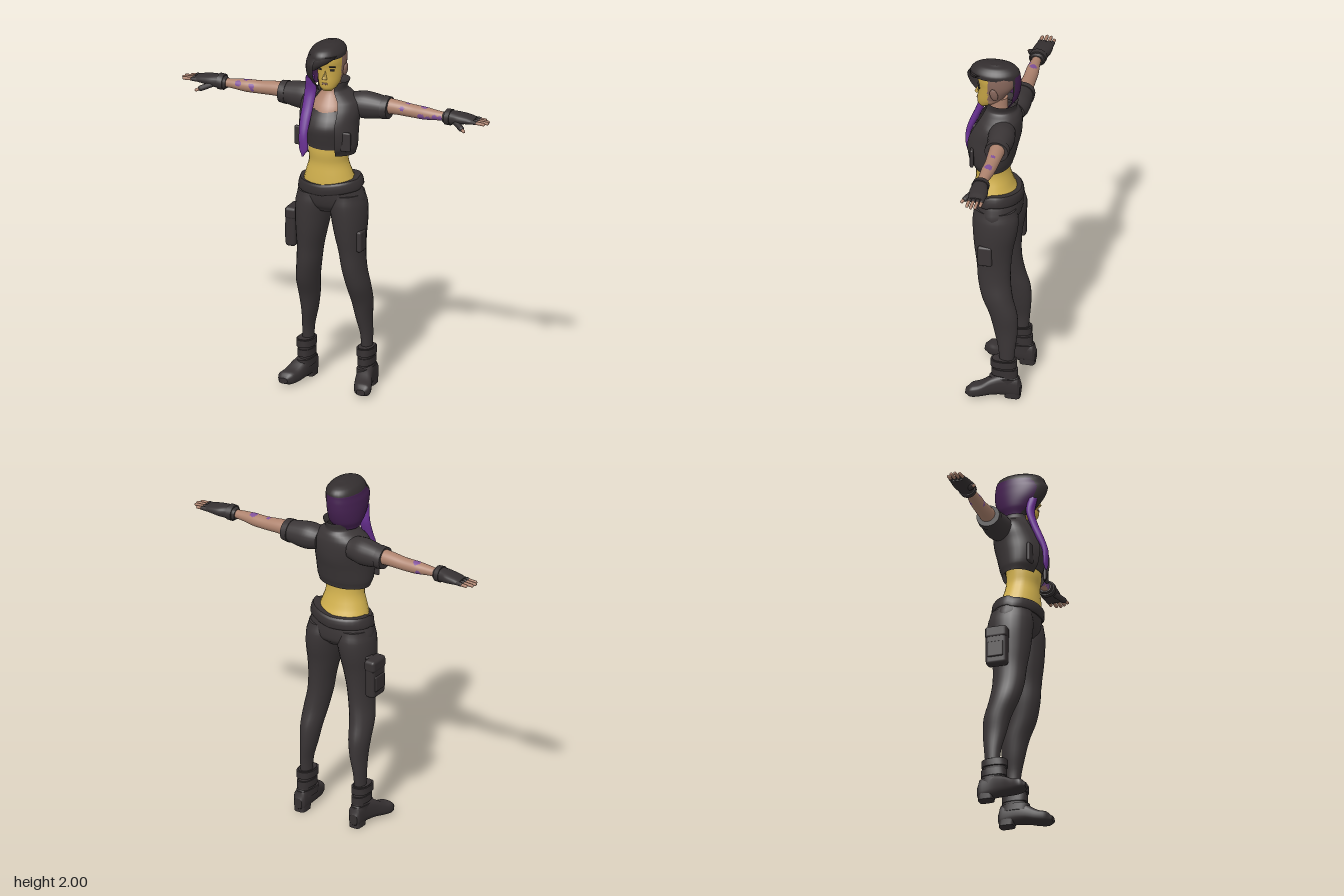
import * as THREE from 'three';
import { RoundedBoxGeometry } from 'three/addons/geometries/RoundedBoxGeometry.js';
import { mergeVertices } from 'three/addons/utils/BufferGeometryUtils.js';

const mat = (name, color, side = THREE.FrontSide) => {
  const m = new THREE.MeshStandardMaterial({ color, side });
  m.name = name;
  return m;
};

// Skin over cross-sections [pos, min1, max1, min2, max2] stacked along an axis.
// The other two axes follow in x, y, z order; p > 2 makes sections boxier.
function loft(axis, secs, { seg = 24, sub = 4, p = 2, a0 = 0, a1 = Math.PI * 2 } = {}) {
  const closed = a1 - a0 > 6.28, rows = [], pos = [], idx = [];
  const cat = (a, b, c, d, t) => 0.5 * (2 * b + (c - a) * t + (2 * a - 5 * b + 4 * c - d) * t * t + (3 * b - a - 3 * c + d) * t * t * t);
  const at = i => secs[Math.min(Math.max(i, 0), secs.length - 1)];
  for (let i = 0; i < secs.length - 1; i++)
    for (let k = 0; k < sub; k++)
      rows.push(secs[i].map((v, n) => n === 0 ? v + (at(i + 1)[0] - v) * k / sub : cat(at(i - 1)[n], v, at(i + 1)[n], at(i + 2)[n], k / sub)));
  rows.push(secs[secs.length - 1]);
  const put = (v, u, w) => pos.push(...(axis === 'x' ? [v, u, w] : axis === 'y' ? [u, v, w] : [u, w, v]));
  const cols = closed ? seg : seg + 1;
  const ring = r => {
    for (let j = 0; j < cols; j++) {
      const a = a0 + (a1 - a0) * j / seg, c = Math.cos(a), s = Math.sin(a);
      put(r[0], (r[1] + r[2]) / 2 + (r[2] - r[1]) / 2 * Math.sign(c) * Math.abs(c) ** (2 / p),
        (r[3] + r[4]) / 2 + (r[4] - r[3]) / 2 * Math.sign(s) * Math.abs(s) ** (2 / p));
    }
  };
  const tri = (a, b, c) => axis === 'y' ? idx.push(a, c, b) : idx.push(a, b, c);
  rows.forEach(ring);
  for (let i = 0; i < rows.length - 1; i++)
    for (let j = 0; j < seg; j++) {
      const a = i * cols + j, b = i * cols + (j + 1) % cols;
      tri(a, b, a + cols); tri(b, b + cols, a + cols);
    }
  if (closed) for (const end of [0, rows.length - 1]) {
    const r = rows[end], base = pos.length / 3;
    ring(r);
    put(r[0], (r[1] + r[2]) / 2, (r[3] + r[4]) / 2);
    for (let j = 0; j < seg; j++) {
      const a = base + j, b = base + (j + 1) % seg;
      end ? tri(a, b, base + seg) : tri(b, a, base + seg);
    }
  }
  const g = new THREE.BufferGeometry();
  g.setAttribute('position', new THREE.Float32BufferAttribute(pos, 3));
  g.setIndex(idx);
  g.computeVertexNormals();
  return g;
}

// Mirrors an indexed geometry across x and restores its winding.
function mirror(geo) {
  const g = geo.clone().scale(-1, 1, 1), ix = g.index.array;
  for (let i = 0; i < ix.length; i += 3) [ix[i], ix[i + 1]] = [ix[i + 1], ix[i]];
  return g;
}

// Sorts faces into material groups by their centre point.
function paint(g, count, pick) {
  const p = g.attributes.position, ix = g.index.array, lists = Array.from({ length: count }, () => []);
  for (let i = 0; i < ix.length; i += 3) {
    const t = [ix[i], ix[i + 1], ix[i + 2]];
    const mid = f => (f(t[0]) + f(t[1]) + f(t[2])) / 3;
    lists[pick(mid(n => p.getX(n)), mid(n => p.getY(n)), mid(n => p.getZ(n)))].push(...t);
  }
  let start = 0;
  lists.forEach((l, n) => { g.addGroup(start, l.length, n); start += l.length; });
  g.setIndex(lists.flat());
  return g;
}

export function createModel() {
  const root = new THREE.Group();
  root.name = 'figure';
  const cloth = mat('charcoal cloth', 0x3a3536, THREE.DoubleSide), leather = mat('dark leather', 0x363132);
  const skin = mat('skin', 0xae836e), shaved = mat('shaved scalp', 0x86665b);
  const yellow = mat('yellow waist', 0xd4b34f), faceCol = mat('yellow face', 0xc4a345);
  const hairCol = mat('dark hair', 0x332e2f, THREE.DoubleSide), violet = mat('violet streak', 0x6a3194);
  const plum = mat('plum hair', 0x43204f, THREE.DoubleSide), ink = mat('tattoo ink', 0x80509a);
  const add = (name, geo, m) => {
    const o = new THREE.Mesh(geo, m);
    o.name = name;
    root.add(o);
    return o;
  };
  const both = (name, geo, m) => { add(name + 'Left', geo, m); add(name + 'Right', mirror(geo), m); };
  const box = (w, h, d, x, y, z, r = 0.01) => mergeVertices(new RoundedBoxGeometry(w, h, d, 2, r)).translate(x, y, z);
  const rod = (a, b, r) => {
    const A = new THREE.Vector3(...a), d = new THREE.Vector3(...b).sub(A);
    const q = new THREE.Quaternion().setFromUnitVectors(new THREE.Vector3(0, 1, 0), d.clone().normalize());
    return new THREE.CapsuleGeometry(r, d.length(), 4, 10).applyQuaternion(q).translate(...A.addScaledVector(d, 0.5).toArray());
  };

  // Legs, hips and belt
  both('leg', loft('y', [[.18, .145, .205, -.145, -.07], [.3, .14, .205, -.155, -.06], [.4, .118, .205, -.165, -.035],
    [.5, .1, .213, -.162, -.008], [.6, .085, .213, -.135, .035], [.7, .068, .2, -.12, .06], [.8, .053, .195, -.12, .07],
    [.9, .03, .2, -.13, .085], [1, .01, .205, -.15, .095], [1.08, 0, .2, -.155, .098], [1.14, .01, .185, -.14, .09]]), cloth);
  add('hips', loft('y', [[1.035, -.12, .12, -.11, .06], [1.07, -.185, .185, -.145, .085], [1.11, -.195, .195, -.152, .098],
    [1.16, -.182, .182, -.15, .105], [1.19, -.172, .172, -.145, .108]]), cloth);
  const belt = loft('y', [[1.14, -.18, .18, -.15, .11], [1.15, -.188, .188, -.158, .118], [1.19, -.18, .18, -.156, .12],
    [1.205, -.172, .172, -.145, .112]], { seg: 32, sub: 2 });
  const bp = belt.attributes.position;
  for (let i = 0; i < bp.count; i++) bp.setY(i, bp.getY(i) + 0.08 * bp.getX(i) + (bp.getZ(i) < 0 ? .012 : 0) + Math.abs(bp.getX(i)) * .08);
  belt.computeVertexNormals();
  add('belt', belt, leather);
  add('pouch', box(.06, .22, .12, -.238, .885, -.06, .018), leather);
  add('pouchFlap', box(.068, .07, .126, -.238, .965, -.06, .018), leather);
  add('pouchStrap', box(.07, .02, .05, -.2, .99, -.06, .008), leather);
  add('pouchPocket', box(.02, .09, .09, -.266, .86, -.06, .008), leather);
  add('thighPocket', box(.03, .12, .08, .192, .88, .01, .012), cloth);

  // Boots
  both('bootFoot', loft('z', [[-.187, .155, .205, .02, .08], [-.172, .142, .215, .005, .125], [-.1, .14, .222, .012, .14],
    [-.03, .145, .24, .012, .12], [.03, .16, .262, .006, .085], [.075, .178, .272, .006, .075], [.105, .205, .255, .018, .05]], { p: 2.8 }), leather);
  both('bootShaft', loft('y', [[.06, .145, .215, -.172, -.03], [.12, .142, .213, -.17, -.035], [.18, .14, .215, -.158, -.03],
    [.235, .138, .22, -.156, -.028]], { p: 2.4 }), leather);
  [[.1, .135, .22, -.178, -.012], [.155, .135, .22, -.17, -.025], [.21, .13, .227, -.165, -.02]].forEach(([y, ...r], i) =>
    both('bootStrap' + (i + 1), loft('y', [[y - .02, ...r], [y + .02, ...r]], { p: 2.4, sub: 1 }), leather));
  both('bootHeel', loft('y', [[0, .145, .212, -.185, -.1], [.035, .143, .214, -.183, -.095]], { p: 4, sub: 1 }), leather);

  // Waist, top and chest
  add('waist', loft('y', [[1.14, -.16, .16, -.138, .1], [1.2, -.15, .15, -.126, .107], [1.25, -.134, .134, -.105, .105],
    [1.32, -.112, .112, -.085, .1], [1.38, -.113, .113, -.08, .108], [1.43, -.115, .115, -.085, .108]]), yellow);
  add('top', loft('y', [[1.41, -.118, .118, -.088, .112], [1.48, -.128, .128, -.1, .13], [1.53, -.135, .135, -.1, .138],
    [1.58, -.13, .13, -.11, .118], [1.625, -.11, .11, -.11, .085]]), cloth);
  add('neck', loft('y', [[1.58, -.1, .1, -.1, .1], [1.64, -.1, .1, -.1, .08], [1.69, -.07, .07, -.09, .045],
    [1.73, -.038, .052, -.075, .025], [1.8, -.036, .054, -.075, .03]]), skin);

  // Open cropped jacket with a standing collar
  const gap = Math.PI / 6, front = { a0: Math.PI / 2 + gap, a1: Math.PI * 2.5 - gap, seg: 32 };
  add('jacket', loft('y', [[1.378, -.152, .152, -.098, .11], [1.42, -.165, .165, -.112, .138], [1.5, -.168, .168, -.13, .152],
    [1.56, -.168, .168, -.145, .145], [1.62, -.172, .172, -.15, .118], [1.67, -.16, .16, -.148, .088],
    [1.705, -.115, .115, -.138, .065], [1.73, -.078, .082, -.122, .05], [1.775, -.085, .095, -.13, .04]], front), cloth);
  both('jacketPocket', box(.06, .11, .02, .128, 1.47, .105, .009).rotateY(.08), cloth);
  both('sleeve', loft('x', [[.1, 1.575, 1.7, -.14, 0], [.17, 1.56, 1.712, -.152, -.002], [.24, 1.565, 1.705, -.15, -.012],
    [.315, 1.58, 1.692, -.145, -.022]]), cloth);
  both('sleeveCuff', loft('x', [[.285, 1.57, 1.7, -.153, -.015], [.322, 1.575, 1.697, -.15, -.018]], { sub: 1 }), cloth);

  // Arms with scattered tattoos
  const arm = loft('x', [[.28, 1.6, 1.69, -.132, -.042], [.36, 1.604, 1.685, -.13, -.046], [.45, 1.602, 1.675, -.125, -.05],
    [.53, 1.602, 1.672, -.12, -.047], [.6, 1.61, 1.665, -.11, -.05], [.66, 1.613, 1.66, -.104, -.056]], { seg: 28, sub: 10 });
  const blotch = (x, y, z, marks) => marks.some(([mx, my, mz, r]) => Math.hypot(x - mx, y - my, z - mz) < r) ? 1 : 0;
  add('armLeft', paint(arm.clone(), 2, (x, y, z) => blotch(x, y, z, [[.405, 1.655, -.05, .014], [.43, 1.675, -.09, .013],
    [.52, 1.62, -.05, .022], [.56, 1.615, -.052, .02], [.6, 1.63, -.05, .018], [.53, 1.67, -.09, .022], [.63, 1.63, -.056, .015]])), [skin, ink]);
  add('armRight', paint(mirror(arm), 2, (x, y, z) => blotch(x, y, z, [[-.57, 1.655, -.052, .018], [-.49, 1.65, -.048, .016],
    [-.53, 1.67, -.09, .02], [-.55, 1.62, -.11, .018], [-.485, 1.625, -.05, .01]])), [skin, ink]);

  // Fingerless gloves and fingers
  both('glove', loft('x', [[.645, 1.606, 1.664, -.112, -.048], [.665, 1.6, 1.675, -.122, -.04], [.7, 1.603, 1.675, -.126, -.038],
    [.74, 1.61, 1.67, -.138, -.035], [.79, 1.617, 1.662, -.138, -.04], [.828, 1.622, 1.652, -.134, -.045]], { p: 2.4 }), leather);
  both('gloveCuff', loft('x', [[.66, 1.594, 1.682, -.128, -.034], [.69, 1.594, 1.684, -.13, -.032]], { sub: 1 }), leather);
  [.872, .897, .902, .89].forEach((tip, i) => {
    const z = -.125 + i * .0235;
    both('gloveFinger' + (i + 1), rod([.81, 1.637, z], [.84, 1.637, z], .0115), leather);
    both('finger' + (i + 1), rod([.83, 1.637, z], [tip, 1.634, z], .009), skin);
  });
  both('gloveThumb', rod([.72, 1.625, -.055], [.775, 1.605, -.018], .016), leather);
  both('thumbTip', rod([.775, 1.605, -.018], [.795, 1.597, -.004], .009), skin);

  // Head: face in front, shaved scalp behind
  add('head', paint(loft('y', [[1.742, -.015, .04, .035, .08], [1.76, -.035, .058, -.005, .092], [1.79, -.05, .072, -.05, .093],
    [1.83, -.06, .08, -.08, .088], [1.87, -.065, .085, -.11, .086], [1.91, -.068, .086, -.12, .09], [1.95, -.06, .08, -.115, .075],
    [1.98, -.04, .06, -.08, .04]], { seg: 36, sub: 5 }), 3, (x, y, z) => z > .022 ? 0 : y < 1.8 ? 2 : 1), [faceCol, shaved, skin]);
  const nose = add('nose', new THREE.ConeGeometry(.016, .05, 4), faceCol);
  nose.position.set(.012, 1.838, .09);
  nose.rotation.x = -.2;
  add('mouth', box(.034, .01, .009, .012, 1.788, .0915, .004), skin);
  const ear = add('ear', new THREE.SphereGeometry(1, 14, 10), shaved);
  ear.scale.set(.012, .04, .022);
  ear.position.set(.088, 1.85, -.015);
  ear.rotation.set(.2, 0, -.2);
  [[-.025, -.35], [.05, .35]].forEach(([x, turn], i) => {
    const eye = add('eye' + (i + 1), new THREE.BoxGeometry(.026, .009, .008), hairCol);
    eye.position.set(x, 1.865, .077);
    eye.rotation.y = turn;
    const brow = add('brow' + (i + 1), new THREE.BoxGeometry(.034, .006, .008), hairCol);
    brow.position.set(x, 1.885, .079);
    brow.rotation.y = turn;
  });

  // Hair: crown, swept side curtain, fringe and long streak
  const tone = (x, y, z) => y < 1.945 && (x < -.09 || (z < -.05 && x < .035)) ? 1 : 0;
  add('hairCrown', paint(loft('y', [[1.932, -.108, .086, -.138, .14], [1.955, -.1, .084, -.134, .135], [1.975, -.085, .07, -.118, .118],
    [1.99, -.058, .052, -.088, .085], [2, -.02, .025, -.04, .03]], { seg: 32 }), 2, tone), [hairCol, plum]);
  add('hairCurtain', paint(loft('y', [[1.735, -.1, .05, -.09, .06], [1.78, -.115, .07, -.122, .1], [1.84, -.12, .08, -.139, .145],
    [1.9, -.116, .086, -.142, .163], [1.94, -.107, .086, -.138, .142]], { a0: 1.72, a1: 5.35, seg: 40, sub: 6 }), 2, tone), [hairCol, plum]);
  add('hairFringe', loft('y', [[1.87, -.06, -.03, .09, .13], [1.9, -.07, .015, .075, .14], [1.925, -.075, .05, .06, .14],
    [1.95, -.08, .075, .02, .135]]), hairCol);
  add('hairStreak', loft('y', [[1.38, -.09, -.08, .165, .175], [1.42, -.106, -.055, .153, .18], [1.5, -.11, -.06, .148, .18],
    [1.58, -.116, -.056, .113, .155], [1.66, -.115, -.05, .08, .122], [1.74, -.112, -.045, .055, .1], [1.82, -.1, -.055, .06, .115]], { seg: 16 }), violet);
  return root;
}
